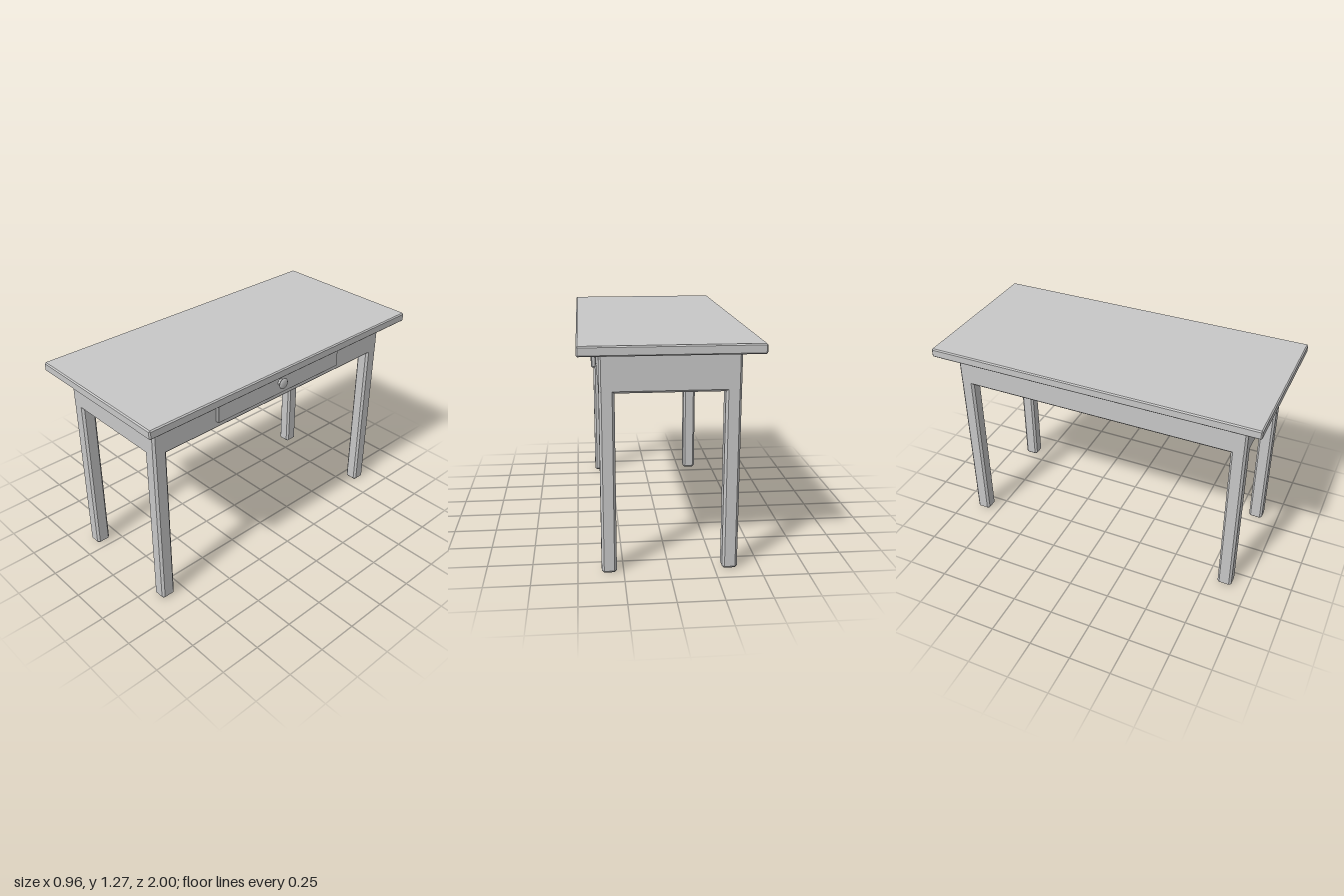
import * as THREE from 'three';
import { ConvexGeometry } from 'three/addons/geometries/ConvexGeometry.js';

const grey = new THREE.MeshStandardMaterial({ color: 0xc8c8c8 });
grey.name = 'plain grey';

// Box between two corners with every edge chamfered by b
function chamferBox(name, [x0, y0, z0], [x1, y1, z1], b) {
  const half = [(x1 - x0) / 2, (y1 - y0) / 2, (z1 - z0) / 2];
  const points = [];
  for (let axis = 0; axis < 3; axis++)
    for (const sx of [-1, 1]) for (const sy of [-1, 1]) for (const sz of [-1, 1]) {
      const size = half.map((h, i) => (i === axis ? h : h - b));
      points.push(new THREE.Vector3(sx * size[0], sy * size[1], sz * size[2]));
    }
  const mesh = new THREE.Mesh(new ConvexGeometry(points), grey);
  mesh.position.set((x0 + x1) / 2, (y0 + y1) / 2, (z0 + z1) / 2);
  mesh.name = name;
  return mesh;
}

export function createModel() {
  const table = new THREE.Group();
  table.name = 'table';

  // Top board and the closed apron box under it
  table.add(chamferBox('tabletop', [-0.48, 1.218, -1], [0.48, 1.272, 1], 0.007));
  table.add(chamferBox('apron', [-0.375, 1.004, -0.897], [0.37, 1.23, 0.903], 0.012));

  // Four square legs, flush with the apron corners
  for (const [x0, x1] of [[-0.375, -0.291], [0.288, 0.37]])
    for (const [z0, z1] of [[-0.897, -0.813], [0.816, 0.903]])
      table.add(chamferBox('leg', [x0, 0, z0], [x1, 1.23, z1], 0.013));

  // Drawer: recessed backing, front panel and turned knob
  const drawer = new THREE.Group();
  drawer.name = 'drawer';
  drawer.add(chamferBox('drawerBacking', [0.34, 1.073, -0.46], [0.378, 1.19, 0.465], 0.003));
  drawer.add(chamferBox('drawerFront', [0.375, 1.057, -0.479], [0.4, 1.207, 0.484], 0.004));

  const profile = [[0, -0.005], [0.02, -0.005], [0.02, 0.003], [0.015, 0.006], [0.015, 0.012],
    [0.033, 0.024], [0.033, 0.027], [0.024, 0.034], [0, 0.034]];
  const lathe = new THREE.LatheGeometry(profile.map(([r, y]) => new THREE.Vector2(r, y)), 16);
  const knob = new THREE.Mesh(lathe, grey);
  knob.name = 'drawerKnob';
  knob.rotation.z = -Math.PI / 2;
  knob.position.set(0.4, 1.133, 0.012);
  drawer.add(knob);
  table.add(drawer);

  return table;
}
